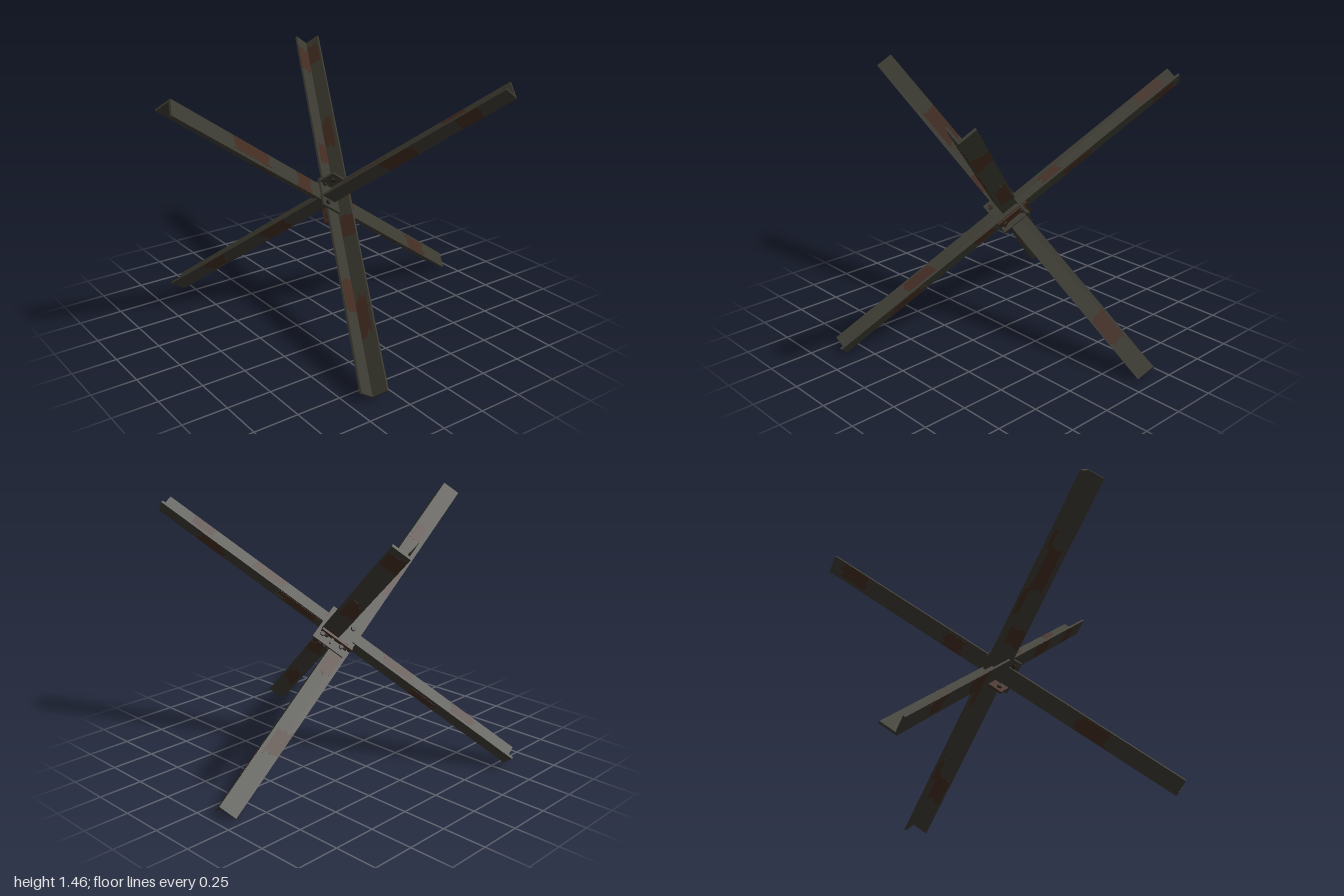
import * as THREE from 'three';

const LENGTH = 2.39, LEG = 0.105, THICK = 0.013;

export function createModel() {
  const model = new THREE.Group();
  model.name = 'crossedBeamObstacle';

  const mat = (name, color) => {
    const m = new THREE.MeshStandardMaterial({ color });
    m.name = name;
    return m;
  };
  const steel = mat('dark olive steel', 0x3b3a31);
  const rust = mat('rust brown', 0x432b20);
  const boltMat = mat('dark bolt', 0x2e251e);

  let seed = 7;
  const rand = () => (seed = (seed * 16807) % 2147483647) / 2147483647;

  const add = (parent, name, geo, material) => {
    const m = new THREE.Mesh(geo, material);
    m.name = name;
    parent.add(m);
    return m;
  };

  // Three mutually perpendicular axes, all leaning equally from vertical
  const axis = (deg) => {
    const r = THREE.MathUtils.degToRad(deg), s = Math.sqrt(2 / 3);
    return new THREE.Vector3(s * Math.cos(r), Math.sqrt(1 / 3), s * Math.sin(r));
  };
  const A = axis(175), C = axis(55), B = axis(-65);
  const hub = new THREE.Group();
  hub.name = 'tiltedFrame';
  hub.quaternion.setFromRotationMatrix(new THREE.Matrix4().makeBasis(A, C, B));
  model.add(hub);

  // L-shaped section, corner at the origin
  const section = new THREE.Shape([
    [0, 0], [LEG, 0], [LEG, THICK], [THICK, THICK], [THICK, LEG], [0, LEG],
  ].map(([x, y]) => new THREE.Vector2(x, y)));

  // Ragged rust patch covering part of a leg's width
  function patch(length) {
    const pts = [], n = 5, low = rand() < 0.5 ? 0.001 : LEG * 0.2 * rand();
    const high = rand() < 0.5 ? LEG - 0.001 : LEG * (0.7 + 0.25 * rand());
    for (let i = 0; i < n; i++) {
      const v = low + (high - low) * (i / (n - 1));
      pts.push(new THREE.Vector2(length * (0.32 + 0.25 * rand()), v));
    }
    for (let i = n - 1; i >= 0; i--) {
      const v = low + (high - low) * (i / (n - 1));
      pts.push(new THREE.Vector2(-length * (0.32 + 0.25 * rand()), v));
    }
    return new THREE.ExtrudeGeometry(new THREE.Shape(pts), { depth: THICK + 0.002, bevelEnabled: false });
  }

  // One angle-iron beam: leg directions u and v, corner line through (a, c, b)
  function beam(name, u, v, corner, rust1, rust2) {
    const g = new THREE.Group();
    g.name = name;
    const w = u.clone().cross(v);
    g.quaternion.setFromRotationMatrix(new THREE.Matrix4().makeBasis(u, v, w));
    g.position.set(...corner);
    const geo = new THREE.ExtrudeGeometry(section, { depth: LENGTH, bevelEnabled: false });
    geo.translate(0, 0, -LENGTH / 2);
    add(g, 'angleIron', geo, steel);
    const X = new THREE.Vector3(1, 0, 0), Y = new THREE.Vector3(0, 1, 0), Z = new THREE.Vector3(0, 0, 1);
    const onLeg1 = new THREE.Matrix4().makeBasis(Z, X, Y).setPosition(0, -0.001, 0);
    const onLeg2 = new THREE.Matrix4().makeBasis(Z, Y, X.clone().negate()).setPosition(THICK + 0.001, 0, 0);
    for (const [list, m] of [[rust1, onLeg1], [rust2, onLeg2]]) {
      for (const [t, len] of list) {
        add(g, 'rustPatch', patch(len).applyMatrix4(m).translate(0, 0, t), rust);
      }
    }
    hub.add(g);
  }

  const dir = (a, c, b) => new THREE.Vector3(a, c, b);
  beam('sideBeam', dir(0, 0, -1), dir(0, -1, 0), [0.024, -0.0145, 0.074],
    [[-0.62, 0.28], [-0.2, 0.12], [0.88, 0.2]],
    [[-0.8, 0.14], [-0.42, 0.2], [0.2, 0.16], [0.75, 0.18]]);
  beam('backLeaningBeam', dir(1, 0, 0), dir(0, 1, 0), [-0.055, -0.021, 0.0235],
    [[-0.65, 0.22], [0.3, 0.15], [1.02, 0.2]],
    [[-0.75, 0.24], [-0.2, 0.14], [0.45, 0.2], [1.08, 0.16]]);
  beam('frontLeaningBeam', dir(0, 0, 1), dir(1, 0, 0), [-0.009, -0.005, -0.021],
    [[-0.6, 0.2], [0.25, 0.3], [0.85, 0.18]],
    [[-0.85, 0.16], [-0.4, 0.22], [0.5, 0.2], [0.95, 0.14]]);

  // Bolted gusset plates at the crossing, one facing each axis
  function gusset(name, quat, pos, w, h, material) {
    const g = new THREE.Group();
    g.name = name;
    g.quaternion.copy(quat);
    g.position.set(...pos);
    add(g, 'plate', new THREE.BoxGeometry(w, h, 0.012), material);
    for (const sx of [-1, 1]) for (const sy of [-1, 1]) {
      const bolt = add(g, 'bolt', new THREE.CylinderGeometry(0.014, 0.014, 0.036, 6), boltMat);
      bolt.rotation.x = Math.PI / 2;
      bolt.position.set(sx * 0.066, sy * 0.062, 0);
    }
    hub.add(g);
  }
  const turn = (x, y) => new THREE.Quaternion().setFromEuler(new THREE.Euler(x, y, 0));
  gusset('upperGusset', turn(0, 0), [-0.01, 0, 0.081], 0.22, 0.2, steel);
  gusset('sideGusset', turn(0, Math.PI / 2), [-0.062, -0.02, 0.02], 0.2, 0.2, rust);
  gusset('frontGusset', turn(Math.PI / 2, 0), [0, -0.001, 0.01], 0.2, 0.18, steel);

  // Rest the lowest beam ends on the ground
  model.updateMatrixWorld(true);
  hub.position.y = -new THREE.Box3().setFromObject(model, true).min.y;
  return model;
}
